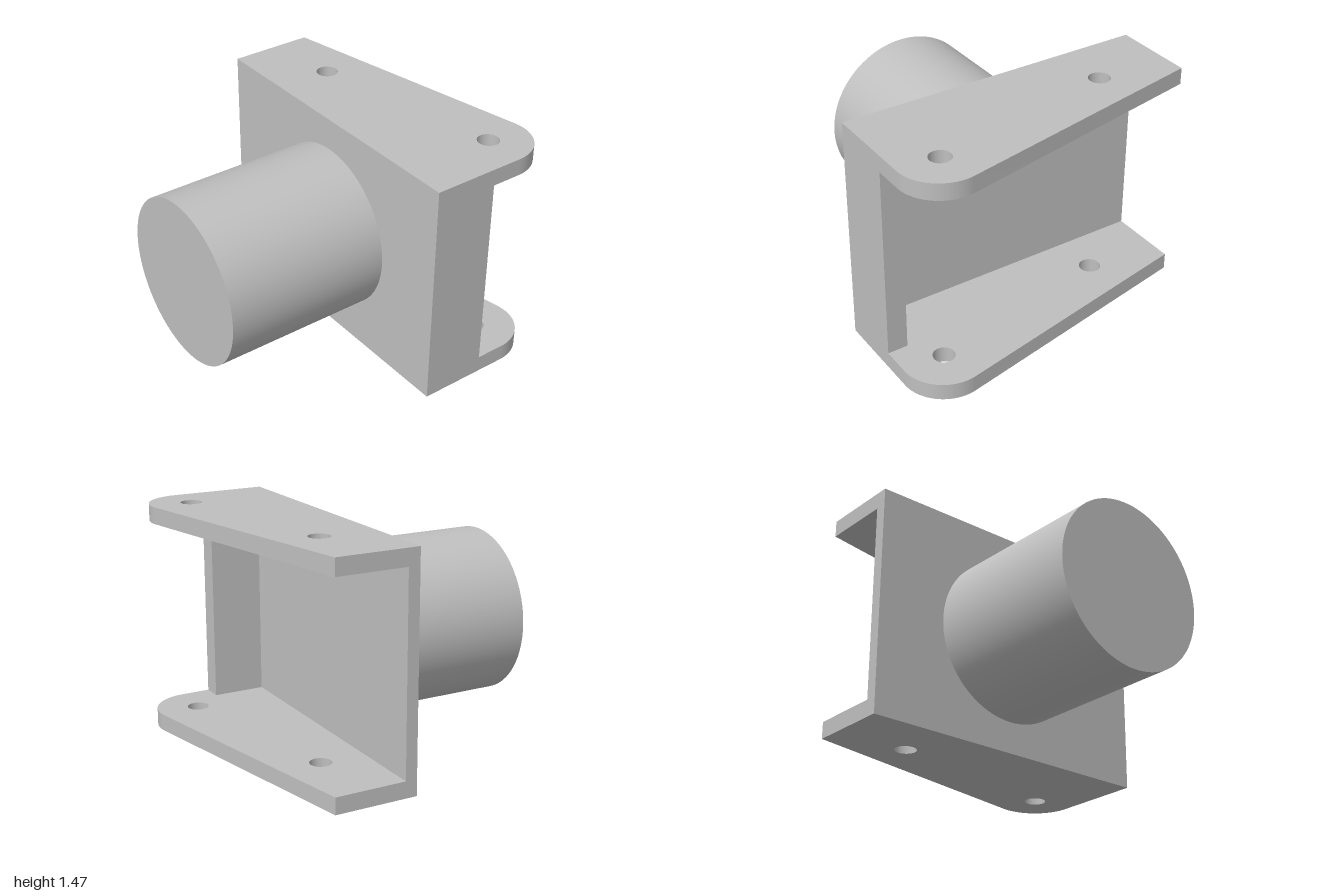
import * as THREE from 'three';
import { toCreasedNormals } from 'three/addons/utils/BufferGeometryUtils.js';

const H = 1.47, FLANGE = 0.107, WEB = 0.075, RIB = 0.13;
const FRONT = -0.1; // z of the mounting face

// Flange outline in plan, drawn with shape y = -z
function flangeGeometry() {
  const s = new THREE.Shape();
  s.moveTo(-1, -FRONT);
  s.lineTo(1, -FRONT);
  s.lineTo(1, 0.703);
  s.absarc(0.733, 0.703, 0.267, 0, Math.PI / 2 + 0.194, false);
  s.lineTo(-1, 0.633);
  s.closePath();
  // Bolt holes
  for (const [x, y] of [[0.733, 0.705], [-0.515, 0.463]]) {
    const hole = new THREE.Path();
    hole.absarc(x, y, 0.068, 0, Math.PI * 2, true);
    s.holes.push(hole);
  }
  const g = new THREE.ExtrudeGeometry(s, { depth: FLANGE, bevelEnabled: false, curveSegments: 32 });
  g.rotateX(-Math.PI / 2);
  return toCreasedNormals(g, 0.5);
}

export function createModel() {
  const group = new THREE.Group();
  const grey = new THREE.MeshStandardMaterial({ color: 0xbfbfbf });
  grey.name = 'grey metal';

  const add = (name, geometry, x, y, z) => {
    const mesh = new THREE.Mesh(geometry, grey);
    mesh.name = name;
    mesh.position.set(x, y, z);
    group.add(mesh);
    return mesh;
  };

  // Matching top and bottom flanges
  const flange = flangeGeometry();
  add('bottomFlange', flange, 0, 0, 0);
  add('topFlange', flange, 0, H - FLANGE, 0);

  // Upright web and the deeper end wall between the flanges
  const inner = H - 2 * FLANGE, depth = 0.415;
  add('web', new THREE.BoxGeometry(2 - RIB, inner, WEB), -RIB / 2, H / 2, FRONT - WEB / 2);
  add('endWall', new THREE.BoxGeometry(RIB, inner, depth), 1 - RIB / 2, H / 2, FRONT - depth / 2);

  // Round boss on the front
  const length = 0.97 - FRONT;
  const boss = new THREE.CylinderGeometry(0.532, 0.532, length, 96);
  boss.rotateX(Math.PI / 2);
  add('boss', boss, 0, H / 2, FRONT + length / 2);

  return group;
}
